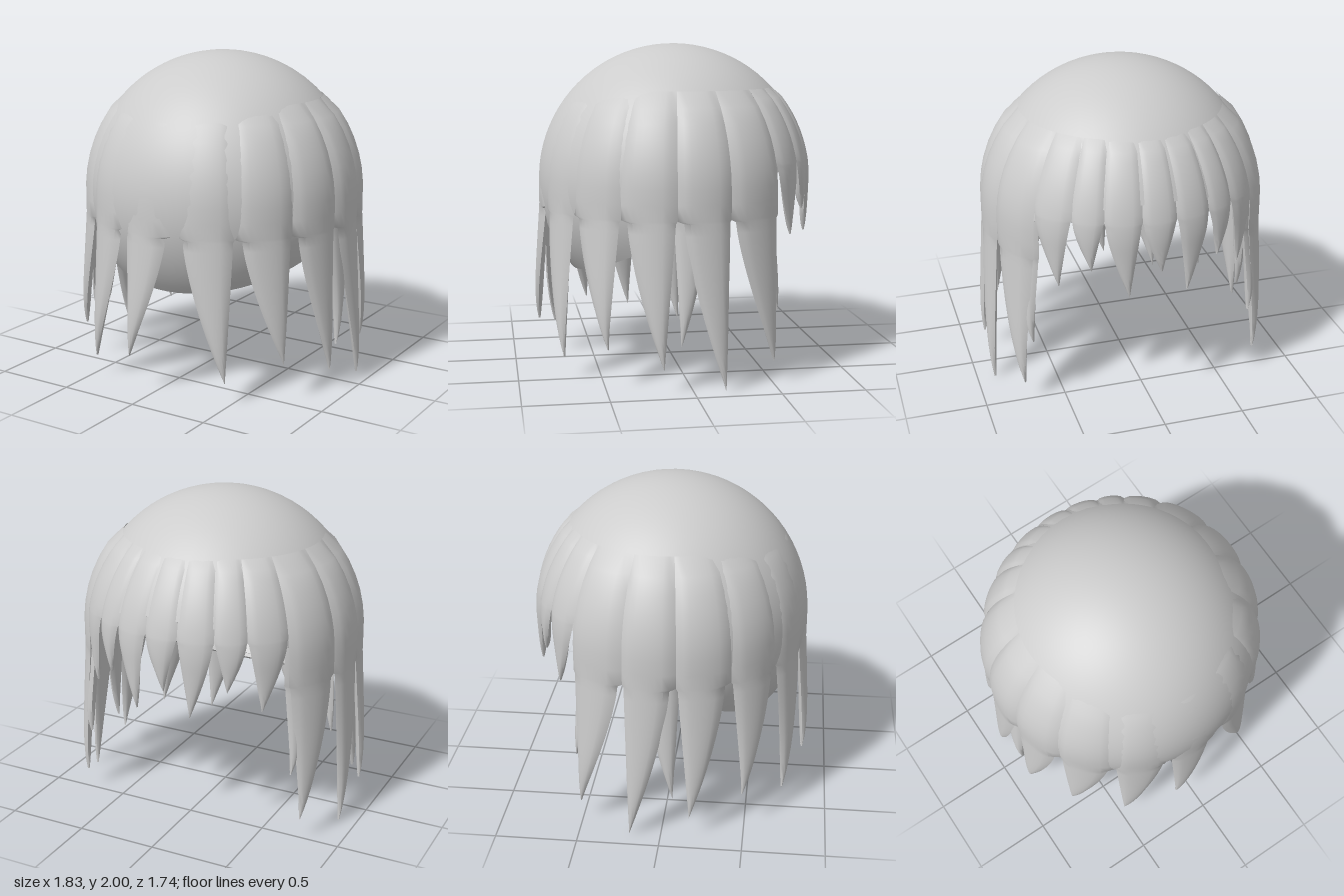
import * as THREE from 'three';
import { toCreasedNormals } from 'three/addons/utils/BufferGeometryUtils.js';

const R = 0.86, CY = 1.14, CZ = -0.025, DEPTH = 0.97; // shell that the locks follow
const lerp = THREE.MathUtils.lerp, rad = THREE.MathUtils.degToRad;
const hair = new THREE.MeshStandardMaterial({ color: 0xcccccc });
hair.name = 'hairGrey';

// Hollow cap cut by a tilted plane, with a thick stepped rim
function createCap() {
  const outer = 0.85, inner = 0.72, cut = -0.165, lip = -0.14, pts = [];
  const arc = (r, from, to) => {
    for (let i = 0; i <= 24; i++) {
      const a = lerp(from, to, i / 24);
      pts.push(new THREE.Vector2(Math.max(0, r * Math.cos(a)), r * Math.sin(a)));
    }
  };
  arc(inner, Math.PI / 2, Math.asin(lip / inner));
  pts.push(new THREE.Vector2(0.725, lip), new THREE.Vector2(0.725, cut));
  arc(outer, Math.asin(cut / outer), Math.PI / 2);
  const cap = new THREE.Mesh(toCreasedNormals(new THREE.LatheGeometry(pts, 64), 0.7), hair);
  cap.name = 'cap';
  cap.rotation.x = Math.atan(0.55);
  cap.position.set(0, 1.15, -0.015);
  return cap;
}

// Radius of the hair shell at a height on the head
function shellRadius(y) {
  return y > CY ? Math.sqrt(R * R - (y - CY) ** 2) : R;
}

// One lock: a lens-shaped section swept down the head to a pointed tip.
// Angles are in degrees, from +z towards +x.
function createLock({ name, from, to, tip, tipY, split = 1, lead = 0.12, flare = 0.055, inset = 0, top = 1.73, bulge = 0.028 }) {
  const rows = [];
  const upper = 8, lower = 14, w = to - from;
  for (let i = 0; i <= upper; i++) {
    const y = lerp(top, split, i / upper);
    rows.push({ y, a: from, b: to, r: shellRadius(y), d: i ? bulge : 0, k: 0.03 });
  }
  // Below the split the tip side stays straight and the other side curves in
  const tipAtEnd = tip > (from + to) / 2;
  const a0 = from + w * (tipAtEnd ? lead : 0.03), b0 = to - w * (tipAtEnd ? 0.03 : lead);
  for (let i = 0; i <= lower; i++) {
    const s = i / lower, y = lerp(split - 0.015, tipY, s);
    const thin = 1 - 0.8 * s ** 6;
    rows.push({
      y,
      a: lerp(a0, tip, s ** (tipAtEnd ? 1.35 : 1)),
      b: lerp(b0, tip, s ** (tipAtEnd ? 1 : 1.35)),
      r: shellRadius(y) + flare * (s - 0.25 * s ** 6),
      d: bulge * thin, k: 0.03 * thin,
    });
  }
  const N = 8, pos = [], index = [], ring = 2 * N;
  for (const { y, a, b, r, d, k } of rows) {
    for (let j = 0; j < ring; j++) {
      const outer = j <= N;
      const f = outer ? j / N : (ring - j) / N;
      const arch = Math.sqrt(Math.max(0, 1 - (2 * f - 1) ** 2));
      const rr = r - inset + (outer ? d : -k) * arch;
      const ang = rad(lerp(a, b, f));
      pos.push(rr * Math.sin(ang), y, CZ + DEPTH * rr * Math.cos(ang));
    }
  }
  for (let i = 0; i < rows.length - 1; i++) {
    for (let j = 0; j < ring; j++) {
      const a = i * ring + j, e = i * ring + (j + 1) % ring;
      index.push(a, a + ring, e + ring, a, e + ring, e);
    }
  }
  const g = new THREE.BufferGeometry();
  g.setAttribute('position', new THREE.Float32BufferAttribute(pos, 3));
  g.setIndex(index);
  const mesh = new THREE.Mesh(toCreasedNormals(g, 0.9), hair);
  mesh.name = name;
  return mesh;
}

export function createModel() {
  const group = new THREE.Group();
  group.name = 'hair';
  group.add(createCap());

  // Single locks on the middle line
  group.add(createLock({ name: 'middleLongLock', from: -12, to: 12, tip: -8.5, tipY: 0.23, lead: 0.18 }));
  const fringe = { split: 1.3, lead: 0.03, flare: -0.015, bulge: 0.022 };
  group.add(createLock({ name: 'middleFringeLock', from: 173, to: 187, tip: 181, tipY: 0.97, ...fringe }));

  // Locks that appear on both sides
  const pairs = [
    { name: 'LongLock1', from: 12, to: 35.5, tip: 31.5, tipY: 0.13 },
    { name: 'LongLock2', from: 35.5, to: 59, tip: 54.5, tipY: 0.23 },
    { name: 'LongLock3', from: 59, to: 82, tip: 77, tipY: 0.13 },
    { name: 'InnerLock', from: 80, to: 97, tip: 83.5, tipY: 0.26, inset: 0.03, top: 1.5 },
    { name: 'LongLock4', from: 82, to: 104, tip: 101, tipY: 0 },
    { name: 'LongLock5', from: 104, to: 128, tip: 123.5, tipY: 0.13, lead: 0.08 },
    { name: 'RearInnerLock', from: 114, to: 129, tip: 127, tipY: 0.43, inset: 0.03, top: 1.5, lead: 0.03 },
    { name: 'FringeLock1', from: 128, to: 145, tip: 139, tipY: 0.86, ...fringe },
    { name: 'FringeLock2', from: 145, to: 158, tip: 153, tipY: 0.99, ...fringe },
    { name: 'FringeLock3', from: 158, to: 173, tip: 168, tipY: 0.82, ...fringe },
  ];
  for (const p of pairs) {
    group.add(createLock({ ...p, name: 'left' + p.name }));
    group.add(createLock({ ...p, name: 'right' + p.name, from: -p.to, to: -p.from, tip: -p.tip }));
  }
  return group;
}
